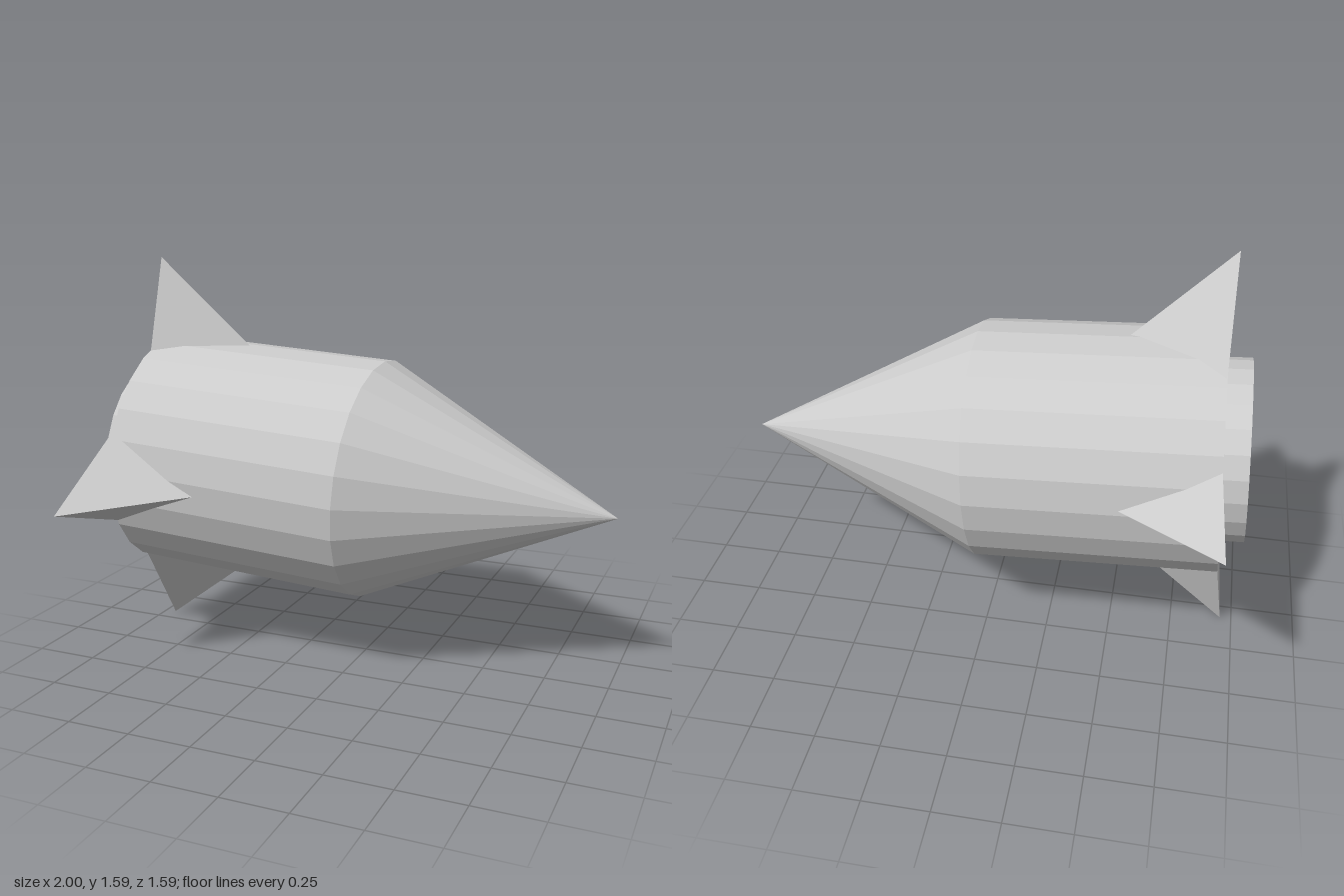
import * as THREE from 'three';
import { ConvexGeometry } from 'three/addons/geometries/ConvexGeometry.js';

const SIDES = 24;

export function createModel() {
  const model = new THREE.Group();
  const mat = new THREE.MeshStandardMaterial({ color: 0xcccccc, flatShading: true });

  // the rocket lies along +x, nose slightly down; its origin is the nose base
  const rocket = new THREE.Group();
  rocket.name = 'rocket';
  rocket.position.set(0.05, 0.735, 0);
  rocket.rotation.z = THREE.MathUtils.degToRad(-3.4);
  model.add(rocket);

  const add = (name, geometry) => {
    const mesh = new THREE.Mesh(geometry, mat);
    mesh.name = name;
    rocket.add(mesh);
    return mesh;
  };
  // turned part between two stations on the long axis
  const turned = (name, rear, front, rearRadius, frontRadius) => {
    const g = frontRadius > 0
      ? new THREE.CylinderGeometry(frontRadius, rearRadius, front - rear, SIDES)
      : new THREE.ConeGeometry(rearRadius, front - rear, SIDES);
    g.rotateZ(-Math.PI / 2).translate((front + rear) / 2, 0, 0);
    return add(name, g);
  };

  turned('body', -0.936, 0, 0.473, 0.473);
  turned('noseCone', 0, 0.952, 0.473, 0);
  turned('nozzle', -1.03, -0.9, 0.355, 0.355);

  // four swept pyramid fins, rooted inside the body
  const finGeometry = new ConvexGeometry([
    new THREE.Vector3(-0.959, 0.794, 0.07),
    new THREE.Vector3(-0.929, 0.33, 0.214),
    new THREE.Vector3(-0.929, 0.33, -0.27),
    new THREE.Vector3(-0.475, 0.384, 0.005),
  ]);
  ['topFin', 'rightFin', 'bottomFin', 'leftFin'].forEach((name, i) => {
    const fin = add(name, finGeometry);
    fin.rotation.x = -i * Math.PI / 2;
    if (i === 3) fin.position.y = -0.03; // this fin sits a little lower
  });

  return model;
}
